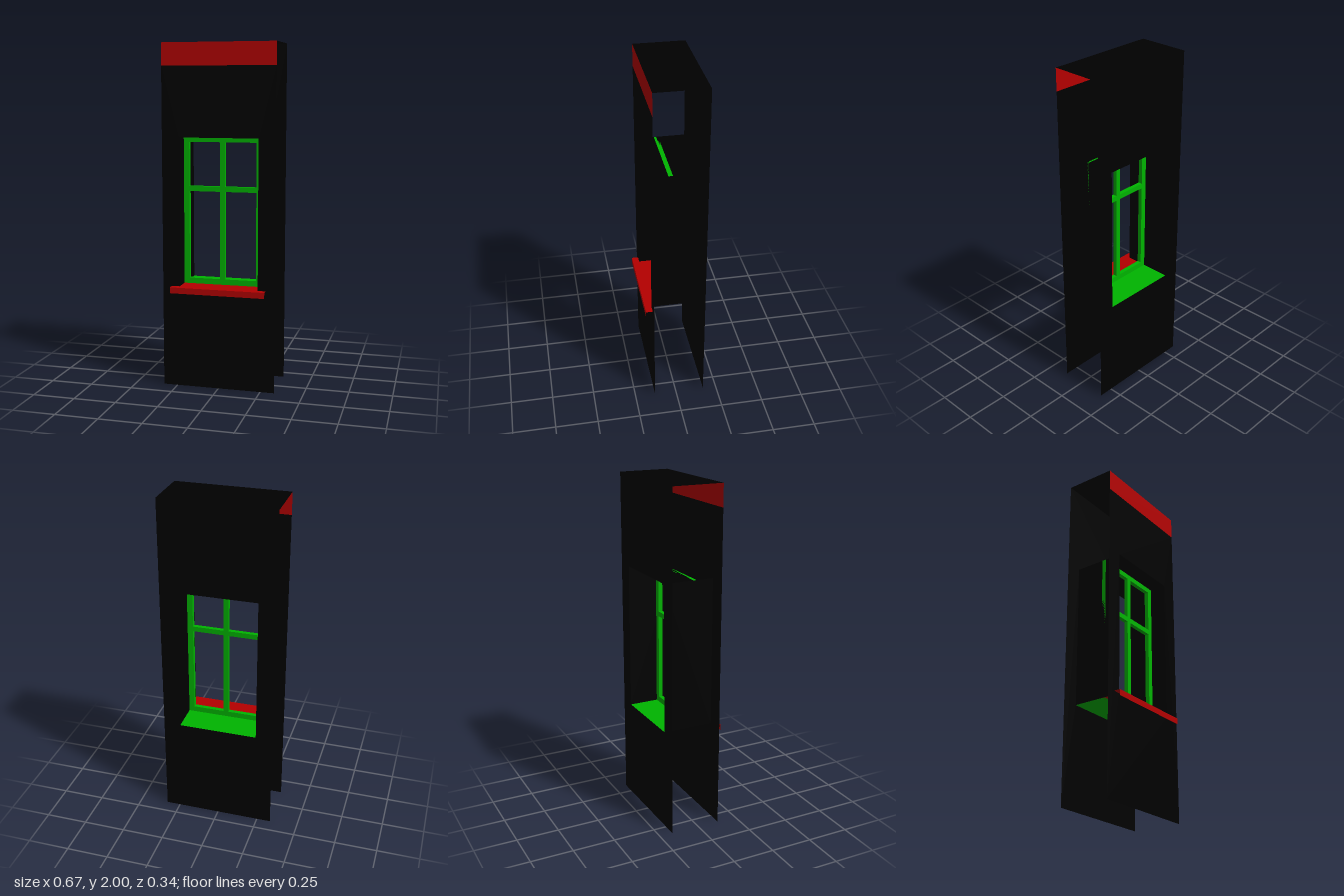
import * as THREE from 'three';

const material = (color) => new THREE.MeshStandardMaterial({ color, side: THREE.DoubleSide, flatShading: true });

// Main dimensions
const W = 0.333, H = 2, FRONT = 0.13, BACK = -0.17;
const OX = 0.233, OY0 = 0.6, OY1 = 1.467;
const BAND = 1.87;
const FRAME_FRONT = 0.03, FRAME_BACK = 0.005, FRAME_MID = 0.018;

// Rectangle shape or hole path
function rect(path, x0, y0, x1, y1) {
  path.moveTo(x0, y0);
  path.lineTo(x1, y0);
  path.lineTo(x1, y1);
  path.lineTo(x0, y1);
  path.closePath();
  return path;
}

export function createModel() {
  const group = new THREE.Group();
  const black = material(0x000000), red = material(0xb40000), green = material(0x00b400);

  const add = (name, geometry, mat, x = 0, y = 0, z = 0) => {
    const mesh = new THREE.Mesh(geometry, mat);
    mesh.name = name;
    mesh.position.set(x, y, z);
    group.add(mesh);
    return mesh;
  };

  // Horizontal sheet facing up, or down when flipped
  const sheet = (name, halfWidth, y, z0, z1, mat, down = false) => {
    const geometry = new THREE.PlaneGeometry(2 * halfWidth, Math.abs(z1 - z0));
    geometry.rotateX(down ? Math.PI / 2 : -Math.PI / 2);
    return add(name, geometry, mat, 0, y, (z0 + z1) / 2);
  };

  // Thin front and back walls, each with the window opening
  const wall = (top) => {
    const shape = rect(new THREE.Shape(), -W, 0, W, top);
    shape.holes.push(rect(new THREE.Path(), -OX, OY0, OX, OY1));
    return new THREE.ShapeGeometry(shape);
  };
  add('frontWall', wall(BAND), black, 0, 0, FRONT);
  add('backWall', wall(H).rotateY(Math.PI), black, 0, 0, BACK);

  // Coloured band along the top of the front, and the roof sheet
  add('topBand', new THREE.PlaneGeometry(2 * W, H - BAND), red, 0, (BAND + H) / 2, FRONT);
  sheet('topCap', W, H, BACK, FRONT, black);

  // Reveals lining the opening
  for (const side of [-1, 1]) {
    const geometry = new THREE.PlaneGeometry(FRONT - BACK, OY1 - OY0).rotateY(-side * Math.PI / 2);
    add(side > 0 ? 'leftReveal' : 'rightReveal', geometry, black, side * OX, (OY0 + OY1) / 2, (FRONT + BACK) / 2);
  }
  sheet('topReveal', OX, OY1, BACK, FRONT, black, true);

  // Outer sill with its projecting ledge and drip edge, and inner sill
  sheet('outerSill', OX, OY0, FRAME_MID, FRONT, red);
  sheet('sillLedge', 0.28, OY0, FRONT, 0.17, red);
  add('sillDrip', new THREE.PlaneGeometry(0.56, 0.035), red, 0, OY0 - 0.0175, 0.17);
  sheet('innerSill', OX, OY0, BACK, FRAME_MID, green);

  // Window frame with four open panes
  const t = 0.033, m = 0.015;
  const frame = rect(new THREE.Shape(), -OX, OY0, OX, OY1);
  for (const [x0, x1] of [[-OX + t, -m], [m, OX - t]]) {
    for (const [y0, y1] of [[OY0 + t, 1.15], [1.18, OY1 - 0.03]]) {
      frame.holes.push(rect(new THREE.Path(), x0, y0, x1, y1));
    }
  }
  const frameGeometry = new THREE.ExtrudeGeometry(frame, { depth: FRAME_FRONT - FRAME_BACK, bevelEnabled: false });
  add('windowFrame', frameGeometry, green, 0, 0, FRAME_BACK);

  return group;
}
